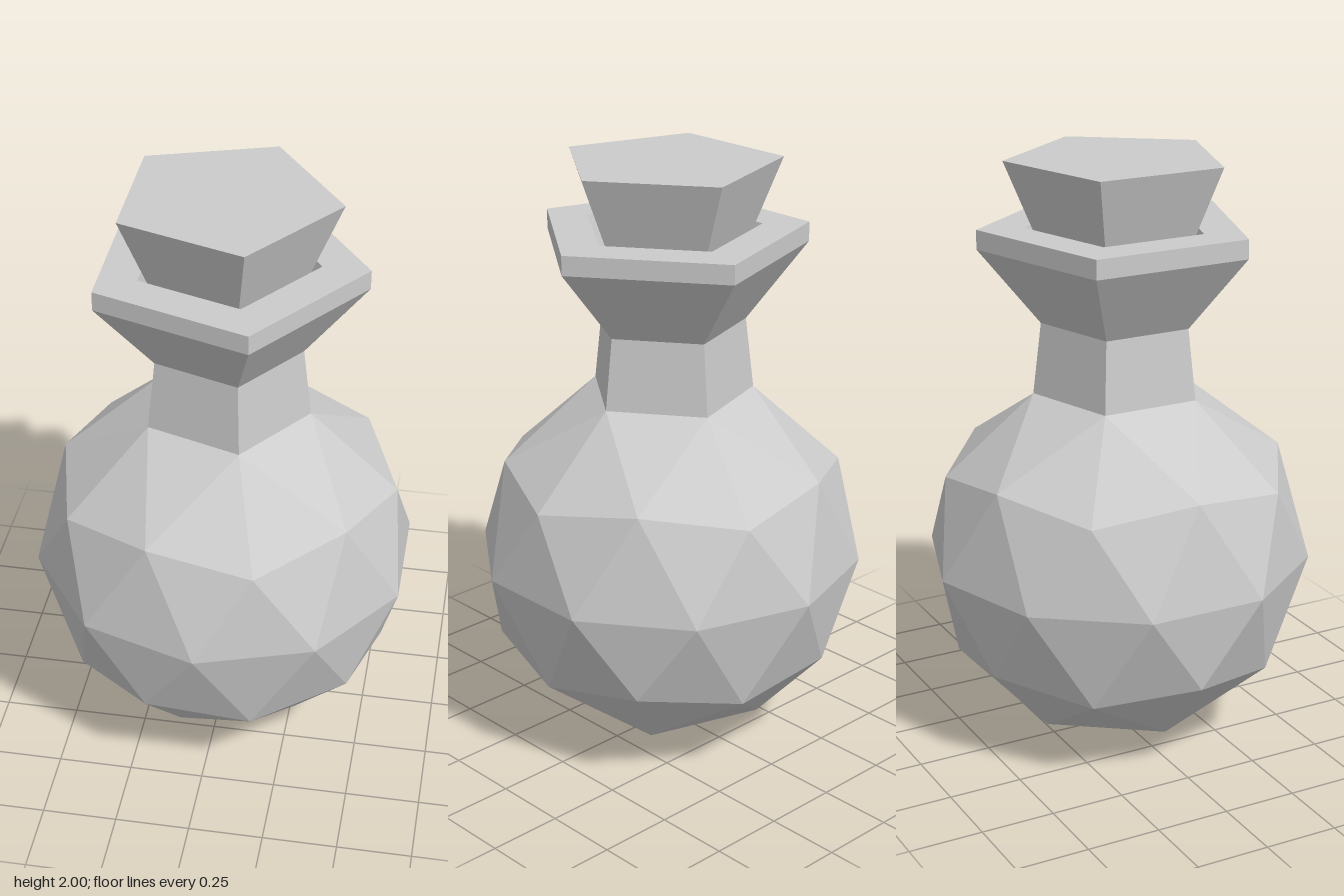
import * as THREE from 'three';

const RADIUS = 0.65;
const CENTRE_Y = 0.653;
const NECK_Y = 1.22;
const NECK_R = 0.283;

const material = new THREE.MeshStandardMaterial({ color: 0xcccccc, flatShading: true });

function addMesh(group, name, geometry) {
  const mesh = new THREE.Mesh(geometry, material);
  mesh.name = name;
  group.add(mesh);
}

// Five-sided turned solid with one corner towards +x
function pentagonLathe(profile) {
  const points = profile.map(([r, y]) => new THREE.Vector2(r, y));
  return new THREE.LatheGeometry(points, 5, Math.PI / 2);
}

// Faceted ball standing on a corner, its top opened into a pentagon for the neck
function flaskBody() {
  const ball = new THREE.IcosahedronGeometry(RADIUS, 1);
  ball.rotateZ(-Math.atan(2 / (1 + Math.sqrt(5))));
  const source = ball.getAttribute('position');
  const positions = [];
  for (let i = 0; i < source.count; i += 3) {
    const corners = [0, 1, 2].map((k) => new THREE.Vector3().fromBufferAttribute(source, i + k));
    // Leave out the faces around the top pole
    if (corners.some((v) => v.y > RADIUS * 0.95)) continue;
    for (const v of corners) {
      if (v.y > RADIUS * 0.7) {
        // Pull the top ring in to meet the neck
        const s = NECK_R / Math.hypot(v.x, v.z);
        positions.push(v.x * s, NECK_Y, v.z * s);
      } else {
        positions.push(v.x, v.y + CENTRE_Y, v.z);
      }
    }
  }
  const geometry = new THREE.BufferGeometry();
  geometry.setAttribute('position', new THREE.Float32BufferAttribute(positions, 3));
  geometry.computeVertexNormals();
  return geometry;
}

export function createModel() {
  const group = new THREE.Group();
  group.name = 'potionFlask';

  addMesh(group, 'flaskBody', flaskBody());

  addMesh(group, 'neck', pentagonLathe([[NECK_R, NECK_Y], [0.255, 1.46]]));

  // Flared lip with a recess for the stopper
  addMesh(group, 'lip', pentagonLathe([
    [0.255, 1.46], [0.46, 1.715], [0.46, 1.78], [0.305, 1.78], [0.24, 1.58], [0, 1.58],
  ]));

  // Tapered stopper seated in the lip
  addMesh(group, 'stopper', pentagonLathe([
    [0, 1.6], [0.206, 1.6], [0.371, 2], [0, 2],
  ]));

  return group;
}
